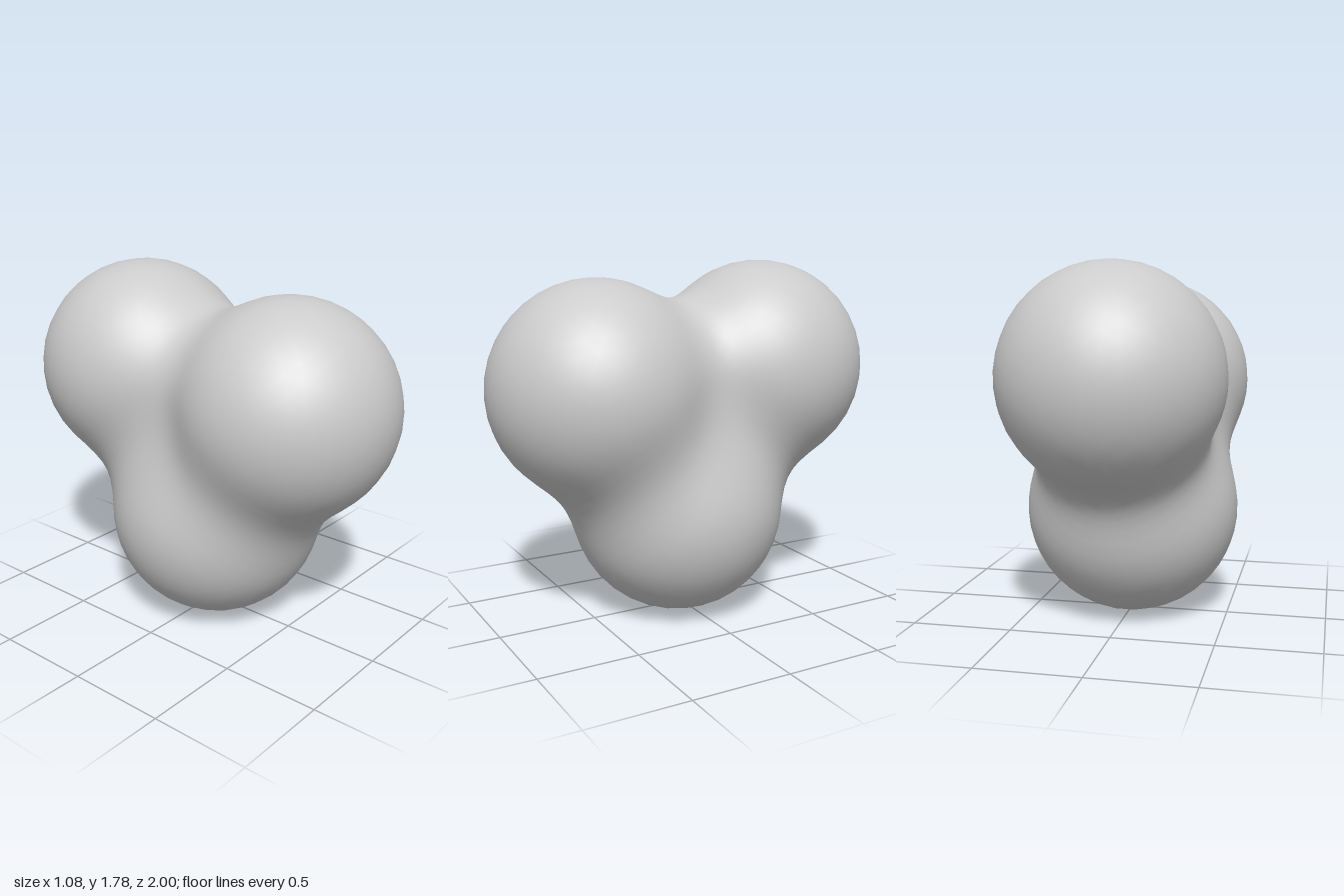
import * as THREE from 'three';
import { mergeVertices } from 'three/addons/utils/BufferGeometryUtils.js';

const RADIUS = 0.542;
const BLEND = 0.27;
const CORE = new THREE.Vector3(0, 1.0, 0); // lies inside all three lobes
const LOBES = [
  new THREE.Vector3(0, 1.17, 0.46), // front
  new THREE.Vector3(0, 1.24, -0.46), // back
  new THREE.Vector3(0, 0.542, 0.025), // bottom
];

// Smooth minimum of two distances
function smoothMin(a, b) {
  const h = Math.max(BLEND - Math.abs(a - b), 0);
  return Math.min(a, b) - (h * h) / (4 * BLEND);
}

// Signed distance to the three melted-together spheres
function blobDistance(p) {
  return LOBES.map((c) => p.distanceTo(c) - RADIUS).reduce(smoothMin);
}

// Distance from the core to the skin along a direction, by bisection
function skinPoint(direction) {
  const p = new THREE.Vector3();
  let near = 0, far = 2;
  for (let i = 0; i < 30; i++) {
    const mid = (near + far) / 2;
    p.copy(CORE).addScaledVector(direction, mid);
    if (blobDistance(p) < 0) near = mid;
    else far = mid;
  }
  return p;
}

export function createModel() {
  // Evenly divided ball, pushed out to the blended surface
  let geometry = new THREE.IcosahedronGeometry(1, 12);
  geometry.deleteAttribute('normal');
  geometry.deleteAttribute('uv');
  geometry = mergeVertices(geometry, 1e-4);

  const position = geometry.attributes.position;
  const direction = new THREE.Vector3();
  for (let i = 0; i < position.count; i++) {
    direction.fromBufferAttribute(position, i).normalize();
    const p = skinPoint(direction);
    position.setXYZ(i, p.x, p.y, p.z);
  }
  geometry.computeVertexNormals();

  const blob = new THREE.Mesh(geometry, new THREE.MeshStandardMaterial({ color: 0xcccccc }));
  blob.name = 'threeLobedBlob';

  const model = new THREE.Group();
  model.name = 'blendedSpheres';
  model.add(blob);
  return model;
}
